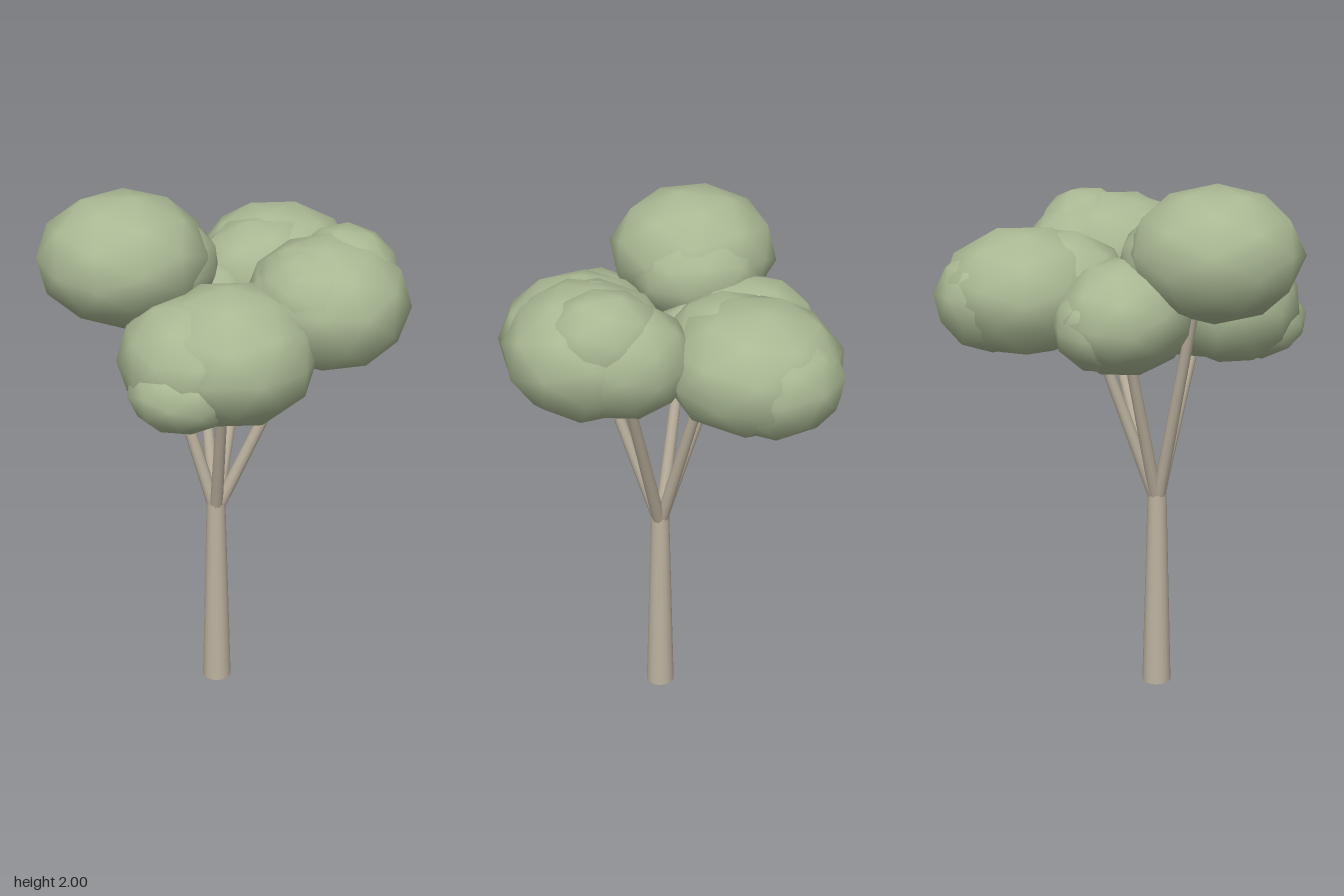
import * as THREE from 'three';
import { mergeVertices } from 'three/addons/utils/BufferGeometryUtils.js';

const leaf = new THREE.MeshStandardMaterial({ color: 0xaab994 });
leaf.name = 'sage leaf';
const bark = new THREE.MeshStandardMaterial({ color: 0xbcb29f, side: THREE.DoubleSide });
bark.name = 'pale bark';

// Coarse, smooth-shaded ball, turned and then squashed to its radii
function leafBall(center, radii, turn) {
  let geo = new THREE.IcosahedronGeometry(1, 1);
  geo.deleteAttribute('uv');
  geo.deleteAttribute('normal');
  geo = mergeVertices(geo, 1e-4);
  geo.rotateX(turn * 0.7).rotateY(turn).scale(...radii).translate(...center);
  geo.computeVertexNormals();
  return new THREE.Mesh(geo, leaf);
}

// Tapered round limb between two points, open at both ends
function limb(from, to, r0, r1, sides) {
  const a = new THREE.Vector3(...from), b = new THREE.Vector3(...to);
  const dir = b.clone().sub(a);
  const mesh = new THREE.Mesh(new THREE.CylinderGeometry(r1, r0, dir.length(), sides, 1, true), bark);
  mesh.position.copy(a).add(b).multiplyScalar(0.5);
  mesh.quaternion.setFromUnitVectors(new THREE.Vector3(0, 1, 0), dir.normalize());
  return mesh;
}

export function createModel() {
  const tree = new THREE.Group();
  tree.name = 'tree';

  const trunk = limb([-0.065, 0, 0], [-0.065, 0.785, 0], 0.056, 0.036, 16);
  trunk.name = 'trunk';
  tree.add(trunk);

  // Each clump: overlapping balls as [centre, radii], and the branch tip inside it
  const clumps = [
    { name: 'highLeft', tip: [-0.28, 1.66, -0.15], balls: [
      [[-0.345, 1.765, -0.168], [0.315, 0.24, 0.318]],
      [[-0.22, 1.73, -0.16], [0.225, 0.19, 0.25]]] },
    { name: 'frontLeft', tip: [-0.16, 1.5, 0.25], balls: [
      [[-0.15, 1.515, 0.275], [0.305, 0.25, 0.315]],
      [[-0.275, 1.5, 0.225], [0.26, 0.225, 0.285]],
      [[-0.345, 1.43, 0.29], [0.2, 0.15, 0.2]],
      [[-0.07, 1.48, 0.2], [0.19, 0.18, 0.2]]] },
    { name: 'frontRight', tip: [0.26, 1.58, 0.19], balls: [
      [[0.23, 1.645, 0.29], [0.295, 0.24, 0.305]],
      [[0.33, 1.715, 0.25], [0.185, 0.185, 0.215]],
      [[0.33, 1.645, 0.18], [0.21, 0.205, 0.24]],
      [[0.16, 1.67, 0.3], [0.215, 0.2, 0.25]]] },
    { name: 'backRight', tip: [0.18, 1.58, -0.16], balls: [
      [[0.345, 1.6, -0.265], [0.31, 0.235, 0.32]],
      [[0.25, 1.605, -0.195], [0.28, 0.215, 0.24]],
      [[0.43, 1.58, -0.32], [0.225, 0.2, 0.25]]] },
    { name: 'back', tip: [-0.02, 1.55, -0.25], balls: [
      [[-0.06, 1.55, -0.3], [0.24, 0.21, 0.295]],
      [[-0.02, 1.53, -0.19], [0.2, 0.18, 0.25]],
      [[-0.01, 1.53, -0.37], [0.18, 0.17, 0.215]]] },
  ];
  clumps.forEach(({ name, tip, balls }, i) => {
    const clump = new THREE.Group();
    clump.name = name + 'Foliage';
    balls.forEach(([center, radii], j) => clump.add(leafBall(center, radii, i * 1.1 + j * 1.3 + 0.3)));
    const branch = limb([-0.065 + (tip[0] + 0.065) * 0.03, 0.77, tip[2] * 0.03], tip, 0.025, 0.018, 10);
    branch.name = name + 'Branch';
    tree.add(clump, branch);
  });
  return tree;
}
